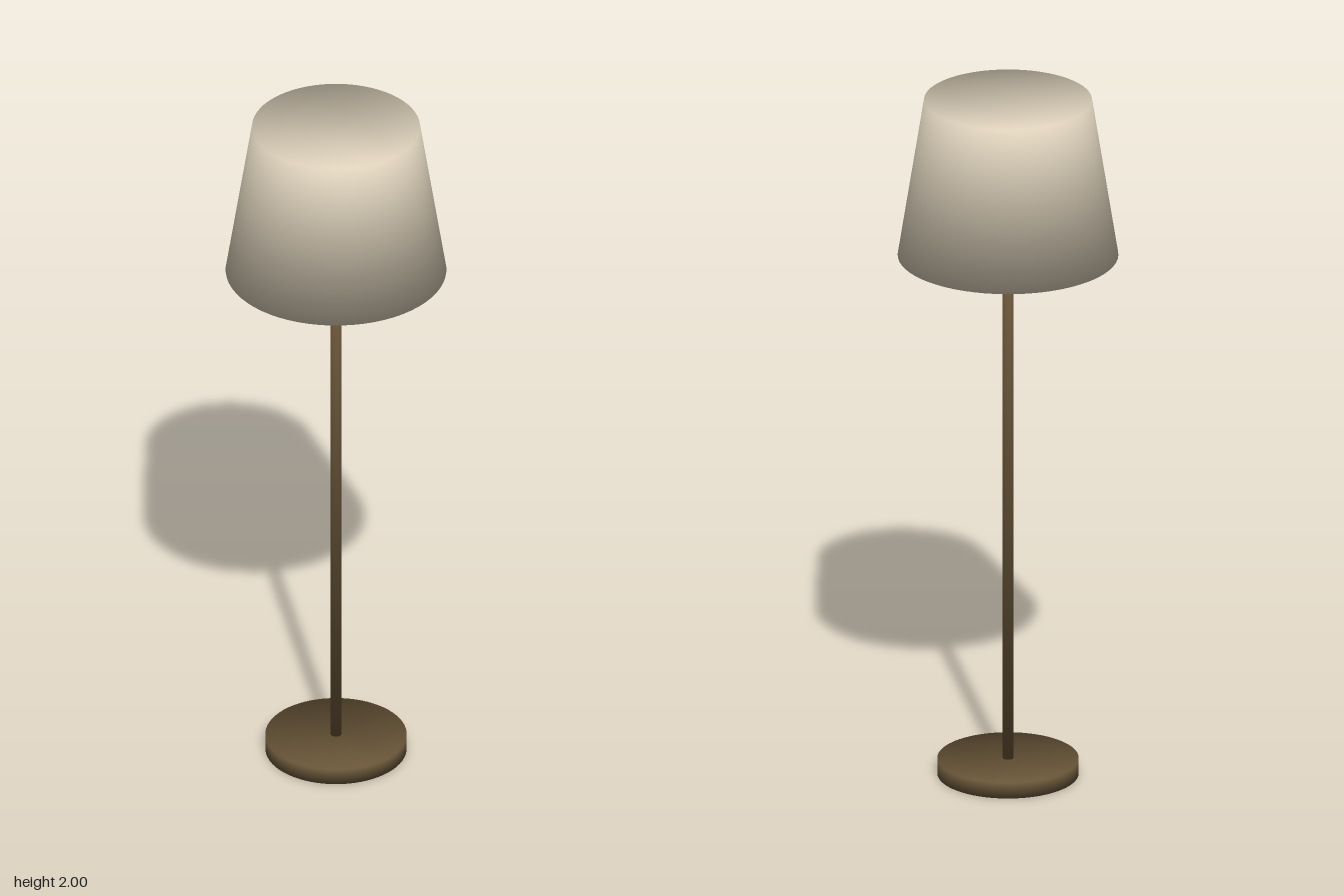
import * as THREE from 'three';

// Solid of revolution with straight sides and flat ends. Each rim shares one
// normal (halfway between side and end), giving soft shading over the edges.
function softFrustum(bottomRadius, topRadius, y0, y1, sides) {
  const positions = [], normals = [], indices = [];
  const tilt = Math.SQRT1_2;
  for (let i = 0; i < sides; i++) {
    const a = (i / sides) * Math.PI * 2;
    const s = Math.sin(a), c = Math.cos(a);
    positions.push(bottomRadius * s, y0, bottomRadius * c, topRadius * s, y1, topRadius * c);
    normals.push(s * tilt, -tilt, c * tilt, s * tilt, tilt, c * tilt);

    // side wall
    const b = 2 * i, n = 2 * ((i + 1) % sides);
    indices.push(b, n, n + 1, b, n + 1, b + 1);
    // flat ends, fanned from the first rim point
    if (i > 0 && i < sides - 1) indices.push(0, n, b, 1, b + 1, n + 1);
  }
  const geometry = new THREE.BufferGeometry();
  geometry.setAttribute('position', new THREE.Float32BufferAttribute(positions, 3));
  geometry.setAttribute('normal', new THREE.Float32BufferAttribute(normals, 3));
  geometry.setIndex(indices);
  return geometry;
}

export function createModel() {
  const lamp = new THREE.Group();
  lamp.name = 'floorLamp';

  const bronze = new THREE.MeshStandardMaterial({ color: 0x685538 });
  const linen = new THREE.MeshStandardMaterial({ color: 0xdcd0ba });

  const add = (name, geometry, material) => {
    const mesh = new THREE.Mesh(geometry, material);
    mesh.name = name;
    lamp.add(mesh);
  };

  // round foot plate
  add('base', softFrustum(0.196, 0.196, 0, 0.046, 64), bronze);
  // slim upright, running a little way into the shade
  add('pole', softFrustum(0.015, 0.015, 0.04, 1.6, 32), bronze);
  // closed tapered shade
  add('shade', softFrustum(0.306, 0.233, 1.54, 2, 64), linen);

  return lamp;
}
